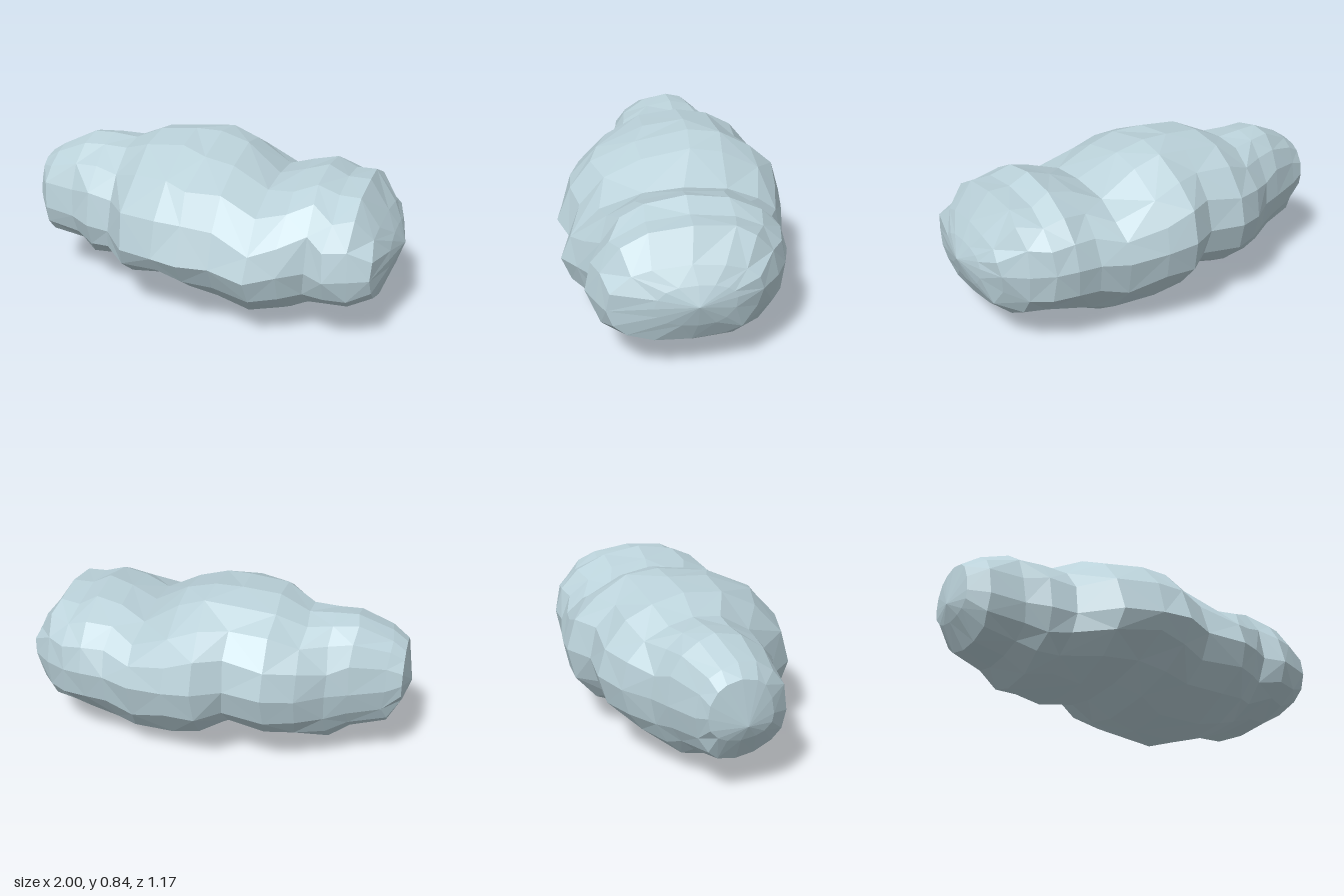
import * as THREE from 'three';

// Cross-sections along the length:
// x, bottom y, top y, back z, front z, height of widest point, z of the crest, roundness (lower is boxier)
const SECTIONS = [
  [-1.0, 0.41, 0.41, -0.04, -0.04, 0.41, -0.04, 1],
  [-0.965, 0.33, 0.63, -0.22, 0.1, 0.45, -0.06, 0.9],
  [-0.89, 0.2, 0.68, -0.25, 0.2, 0.42, -0.05, 0.9],
  [-0.72, 0.17, 0.76, -0.32, 0.23, 0.41, -0.09, 0.95],
  [-0.61, 0.09, 0.76, -0.36, 0.29, 0.4, -0.1, 1.0],
  [-0.48, 0.12, 0.75, -0.46, 0.31, 0.4, -0.1, 0.98],
  [-0.33, 0.1, 0.82, -0.53, 0.49, 0.41, -0.09, 1.02],
  [-0.14, 0.14, 0.84, -0.51, 0.55, 0.42, -0.1, 1.03],
  [0.0, 0.07, 0.84, -0.59, 0.58, 0.42, -0.1, 1.04],
  [0.15, 0.03, 0.8, -0.57, 0.53, 0.4, -0.09, 1.05],
  [0.34, 0.0, 0.68, -0.53, 0.58, 0.38, -0.03, 1.0],
  [0.48, 0.04, 0.73, -0.49, 0.51, 0.4, 0, 0.95],
  [0.6, 0.09, 0.77, -0.49, 0.44, 0.41, 0, 0.92],
  [0.7, 0.12, 0.72, -0.46, 0.49, 0.4, 0, 0.88],
  [0.81, 0.12, 0.72, -0.4, 0.45, 0.4, 0, 0.84],
  [0.91, 0.19, 0.58, -0.31, 0.41, 0.4, 0.02, 0.88],
  [0.96, 0.29, 0.5, -0.18, 0.2, 0.41, 0, 0.92],
  [1.0, 0.41, 0.41, 0, 0, 0.41, 0, 1],
];
const SIDES = 16;
const LEAN = 0.04; // the back bulges a little higher than the front

// Small repeatable variation that keeps the facets irregular
const vary = (i, j) => {
  const s = Math.sin(i * 12.99 + j * 78.23) * 437.58;
  return (s - Math.floor(s)) * 2 - 1;
};

function bodyPoint(i, j) {
  const [x, y0, y1, z0, z1, yw, zc, round] = SECTIONS[i];
  const k = j % SIDES;
  const axis = k % 4 === 0; // extremes stay on the outline
  const inner = i > 1 && i < SECTIONS.length - 2;
  const a = (k / SIDES) * Math.PI * 2 + (axis ? 0 : vary(i, k) * 0.06);
  const r = axis ? 1 : 1 + vary(i + 30, k) * 0.02;
  const soft = (v) => Math.sign(v) * Math.abs(v) ** round;
  const c = soft(Math.cos(a)) * r;
  const s = soft(Math.sin(a)) * r;
  const lean = LEAN * c * (1 - Math.min(1, Math.abs(s))) * (z1 - z0);
  return [
    x + (inner && !axis ? vary(i + 60, k) * 0.015 : 0),
    yw + s * (s > 0 ? y1 - yw : yw - y0) - lean,
    zc + c * (c > 0 ? z1 - zc : zc - z0),
  ];
}

function createBodyGeometry() {
  const positions = [];
  const last = SECTIONS.length - 1;
  const tri = (...corners) => corners.forEach((p) => positions.push(...p));
  for (let i = 0; i < last; i++) {
    for (let j = 0; j < SIDES; j++) {
      const a = bodyPoint(i, j);
      const b = bodyPoint(i + 1, j);
      const c = bodyPoint(i + 1, j + 1);
      const d = bodyPoint(i, j + 1);
      if (i === 0) tri(a, b, c); // left-hand tip
      else if (i === last - 1) tri(a, b, d); // right-hand tip
      else if ((i + j) % 2) {
        tri(a, b, c);
        tri(a, c, d);
      } else {
        tri(a, b, d);
        tri(b, c, d);
      }
    }
  }
  const geometry = new THREE.BufferGeometry();
  geometry.setAttribute('position', new THREE.Float32BufferAttribute(positions, 3));
  geometry.computeVertexNormals(); // unshared corners give flat facets
  return geometry;
}

export function createModel() {
  const group = new THREE.Group();
  group.name = 'cloud';
  const paleBlue = new THREE.MeshStandardMaterial({ color: 0xbad1d9 });
  paleBlue.name = 'paleBlue';
  paleBlue.flatShading = true;

  // One lumpy faceted body
  const body = new THREE.Mesh(createBodyGeometry(), paleBlue);
  body.name = 'cloudBody';
  group.add(body);
  return group;
}
